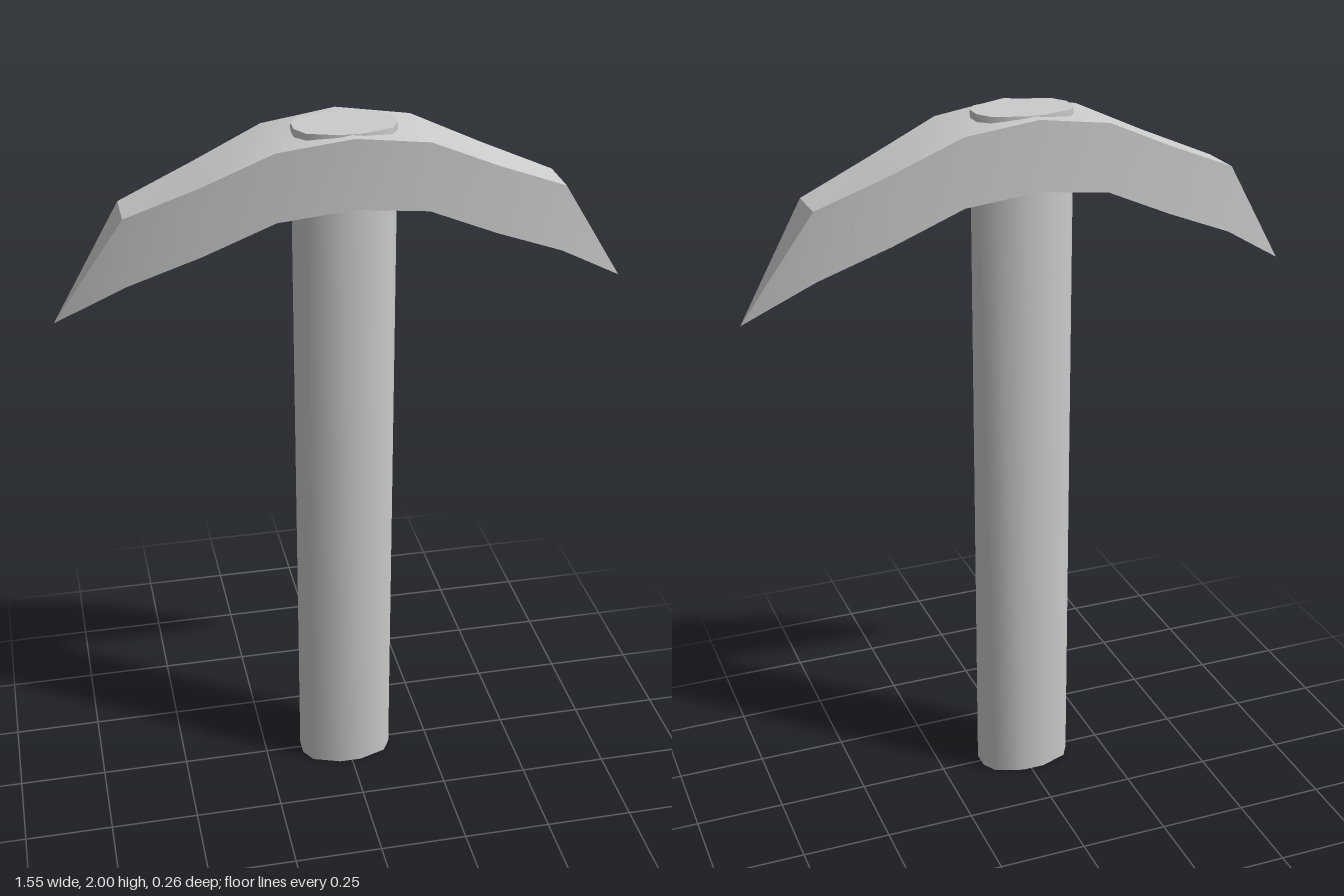
import * as THREE from 'three';
import { toCreasedNormals } from 'three/addons/utils/BufferGeometryUtils.js';

const material = new THREE.MeshStandardMaterial({ color: 0xcccccc });

// Flattened oval shaft, extruded upward
function createHandle() {
  const quarter = [[0.135, 0.025], [0.111, 0.066], [0.032, 0.094]];
  const half = [...quarter, ...quarter.map(([x, z]) => [-x, z]).reverse()];
  const outline = [...half, ...half.map(([x, z]) => [-x, -z])];
  const shape = new THREE.Shape(outline.map(([x, z]) => new THREE.Vector2(x, z)));
  const geometry = new THREE.ExtrudeGeometry(shape, { depth: 2, bevelEnabled: false });
  geometry.rotateX(-Math.PI / 2).translate(-0.006, 0, 0.002);
  const mesh = new THREE.Mesh(toCreasedNormals(geometry, 0.95), material);
  mesh.name = 'handle';
  return mesh;
}

// Arched head: rectangular sections that narrow to a point at both ends
function createHead() {
  // x, top y, bottom y, half depth, z centre
  const side = [
    [0.2, 1.97, 1.785, 0.117, -0.005],
    [0.39, 1.885, 1.7, 0.096, -0.006],
    [0.585, 1.805, 1.62, 0.065, -0.008],
    [0.776, 1.505, 1.505, 0, -0.01],
  ];
  const stations = [
    ...side.map(([x, ...rest]) => [-x, ...rest]).reverse(),
    [0, 1.998, 1.81, 0.128, -0.003],
    ...side,
  ];
  const rings = stations.map(([x, top, bottom, d, z]) => [
    [x - 0.003, top, z + d], [x - 0.003, top, z - d],
    [x - 0.003, bottom, z - d], [x - 0.003, bottom, z + d],
  ]);
  const positions = [];
  const last = rings.length - 1;
  for (let i = 0; i < last; i++) {
    for (let j = 0; j < 4; j++) {
      const k = (j + 1) % 4;
      const a = rings[i][j], b = rings[i + 1][j], c = rings[i + 1][k], d = rings[i][k];
      // Each tip needs only one triangle per side
      if (i < last - 1) positions.push(...a, ...b, ...c);
      else positions.push(...a, ...b, ...d);
      if (i > 0 && i < last - 1) positions.push(...a, ...c, ...d);
    }
  }
  const geometry = new THREE.BufferGeometry();
  geometry.setAttribute('position', new THREE.Float32BufferAttribute(positions, 3));
  const mesh = new THREE.Mesh(toCreasedNormals(geometry, 0.55), material);
  mesh.name = 'pickHead';
  return mesh;
}

export function createModel() {
  const group = new THREE.Group();
  group.name = 'pickaxe';
  group.add(createHandle(), createHead());
  return group;
}
